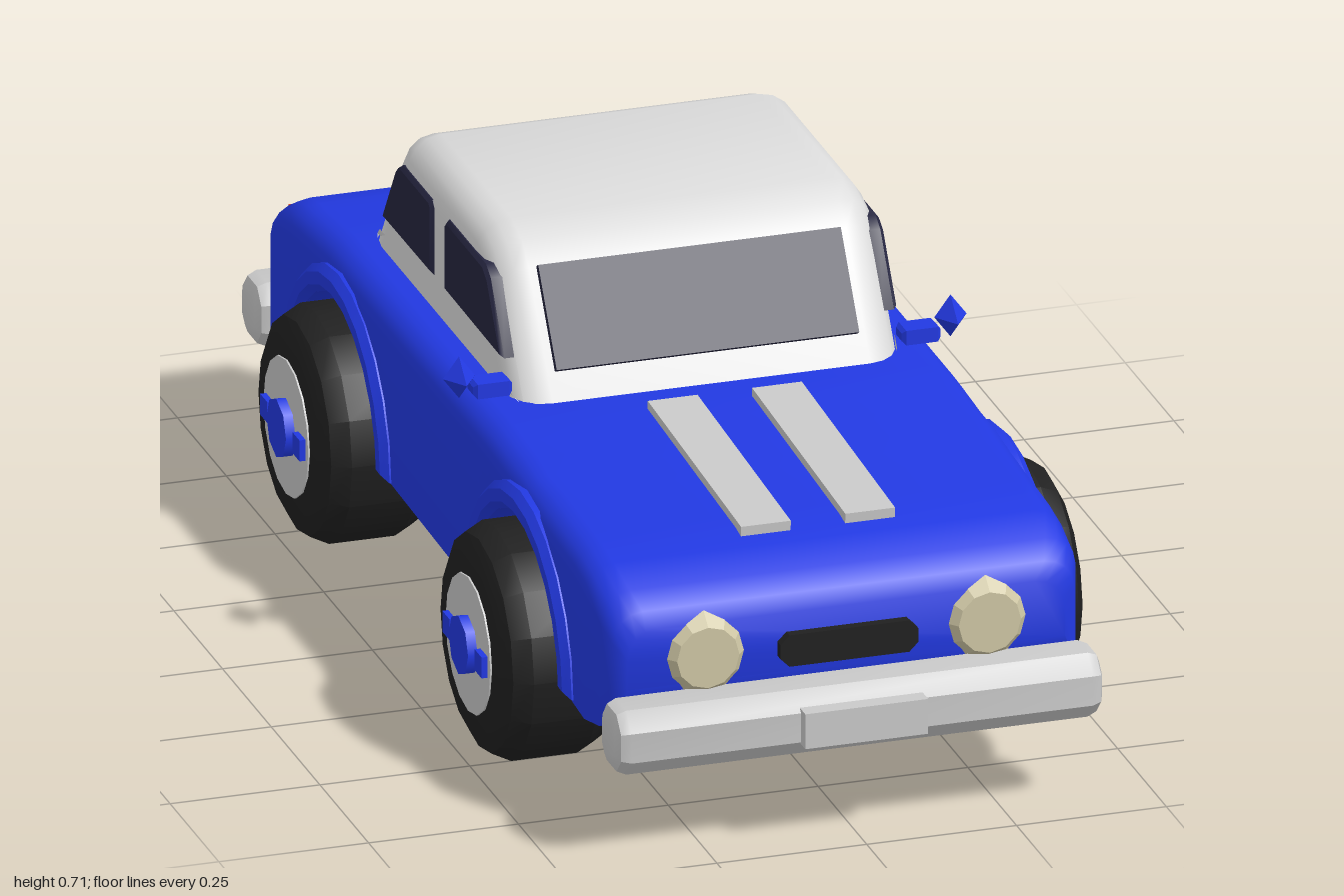
import * as THREE from 'three';
import { toCreasedNormals } from 'three/addons/utils/BufferGeometryUtils.js';

const material = (name, color) => {
  const m = new THREE.MeshStandardMaterial({ color });
  m.name = name;
  return m;
};

// Closed prism across the car from a side outline of [z, y] points
function extrudeX(points, x0, x1, bevel = 0, segments = 1) {
  const shape = new THREE.Shape(points.map(([z, y]) => new THREE.Vector2(-z, y)));
  const geo = new THREE.ExtrudeGeometry(shape, {
    depth: x1 - x0 - 2 * bevel, bevelEnabled: bevel > 0, bevelSize: bevel,
    bevelThickness: bevel, bevelOffset: -bevel, bevelSegments: segments,
  });
  geo.rotateY(Math.PI / 2).translate(x0 + bevel, 0, 0);
  return toCreasedNormals(geo, 0.6);
}

// Body lofted from rounded cross-sections, with the wheel arches cut through
const WHEELS_Z = [0.46, -0.475];
const TOP = [[0.895, 0.37], [0.875, 0.405], [0.84, 0.43], [0.74, 0.45], [0.27, 0.475],
  [-0.55, 0.475], [-0.76, 0.455], [-0.83, 0.43], [-0.86, 0.39], [-0.88, 0.35]];

function topAt(z) {
  for (let i = 0; i < TOP.length - 1; i++) {
    const [z0, y0] = TOP[i], [z1, y1] = TOP[i + 1];
    if (z <= z0 && z >= z1) return y0 + (y1 - y0) * (z0 - z) / (z0 - z1);
  }
  return TOP[0][1];
}

function bodyGeometry() {
  const arch = (c) => Array.from({ length: 11 }, (_, k) => {
    const a = Math.PI * k / 10;
    return [c + 0.22 * Math.cos(a), 0.2 + 0.2 * Math.sin(a), 0.4];
  });
  // Stations: z, underside height, half width
  const stations = [
    [0.895, 0.27, 0.365], [0.88, 0.225, 0.385], [0.85, 0.195, 0.397], [0.78, 0.18, 0.4],
    [0.72, 0.185, 0.4], ...arch(WHEELS_Z[0]), [0.22, 0.177, 0.4], [-0.22, 0.188, 0.4],
    ...arch(WHEELS_Z[1]), [-0.73, 0.18, 0.4], [-0.78, 0.168, 0.4], [-0.84, 0.18, 0.397],
    [-0.865, 0.215, 0.385], [-0.88, 0.26, 0.365],
  ];
  const pos = [], index = [];
  let n = 0;
  for (const [z, b, w] of stations) {
    const t = topAt(z), r = Math.min(0.05, (t - b) * 0.7);
    const half = [[w, b]];
    for (let k = 0; k <= 4; k++) {
      const a = Math.PI * k / 8;
      half.push([w - r + r * Math.cos(a), t - r + r * Math.sin(a)]);
    }
    const ring = [...half, ...half.map(([x, y]) => [-x, y]).reverse()];
    n = ring.length;
    ring.forEach(([x, y]) => pos.push(x, y, z));
  }
  const last = (stations.length - 1) * n;
  for (let i = 0; i < stations.length - 1; i++) {
    for (let j = 0; j < n; j++) {
      const a = i * n + j, b = i * n + (j + 1) % n;
      index.push(a, a + n, b, b, a + n, b + n);
    }
  }
  for (let j = 1; j < n - 1; j++) {
    index.push(0, j, j + 1, last, last + j + 1, last + j);
  }
  const geo = new THREE.BufferGeometry();
  geo.setAttribute('position', new THREE.Float32BufferAttribute(pos, 3));
  geo.setIndex(index);
  return toCreasedNormals(geo, 0.7);
}

export function createModel() {
  const blue = material('blue paint', 0x2239e2);
  const white = material('white roof paint', 0xdcdcdc);
  const silver = material('silver trim', 0xc9c9c9);
  const glass = material('dark glass', 0x25253f);
  const rubber = material('black rubber', 0x202020);
  const cream = material('cream lamp', 0xcfc7a5);
  const red = material('red lamp', 0xd53b22);

  const car = new THREE.Group();
  car.name = 'car';
  const add = (name, geo, mat, x = 0, y = 0, z = 0, parent = car) => {
    const mesh = new THREE.Mesh(geo, mat);
    mesh.name = name;
    mesh.position.set(x, y, z);
    parent.add(mesh);
    return mesh;
  };
  const box = (x, y, z) => new THREE.BoxGeometry(x, y, z);

  add('body', bodyGeometry(), blue);

  // Cabin
  add('cabin', extrudeX([[0.215, 0.455], [0.2, 0.48], [0.08, 0.66], [0.045, 0.693], [-0.01, 0.71],
    [-0.37, 0.71], [-0.41, 0.695], [-0.44, 0.66], [-0.56, 0.48], [-0.57, 0.455]],
  -0.325, 0.325, 0.06, 4), white);
  const tilt = Math.atan2(0.12, 0.18);
  add('windshield', box(0.505, 0.172, 0.018), glass, 0, 0.59, 0.13).rotation.x = -tilt;
  add('rearWindow', box(0.505, 0.172, 0.018), glass, 0, 0.593, -0.49).rotation.x = tilt;

  const frontPane = [[0.14, 0.535], [0.07, 0.645], [0.045, 0.66], [-0.145, 0.66], [-0.155, 0.65], [-0.155, 0.535]];
  const rearPane = [[-0.22, 0.535], [-0.22, 0.65], [-0.23, 0.66], [-0.38, 0.66], [-0.405, 0.645], [-0.475, 0.535]];

  // Wheel parts, made once and facing +x
  const tyreGeo = toCreasedNormals(new THREE.LatheGeometry([
    [0, -0.1], [0.15, -0.1], [0.178, -0.085], [0.193, -0.055],
    [0.193, 0.055], [0.178, 0.085], [0.15, 0.1], [0, 0.1],
  ].map(([r, h]) => new THREE.Vector2(r, h)), 16).rotateZ(-Math.PI / 2), 0.5);
  const disc = (r, depth, sides) => new THREE.CylinderGeometry(r, r, depth, sides).rotateZ(-Math.PI / 2);

  // Arch flare outline
  const flare = (c) => {
    const arc = (rz, ry) => Array.from({ length: 13 }, (_, k) => {
      const a = Math.PI * k / 12;
      return [c + rz * Math.cos(a), 0.19 + ry * Math.sin(a)];
    });
    return [...arc(0.265, 0.255), ...arc(0.22, 0.21).reverse()];
  };

  for (const s of [1, -1]) {
    const side = s > 0 ? 'left' : 'right';
    const span = (a, b) => (s > 0 ? [a, b] : [-b, -a]);
    add(side + 'FrontWindow', extrudeX(frontPane, ...span(0.3, 0.331), 0.006), glass);
    add(side + 'RearWindow', extrudeX(rearPane, ...span(0.3, 0.331), 0.006), glass);

    WHEELS_Z.forEach((z, i) => {
      const name = side + (i ? 'Rear' : 'Front');
      add(name + 'ArchFlare', extrudeX(flare(z), ...span(0.35, 0.415), 0.012), blue);
      const wheel = new THREE.Group();
      wheel.name = name + 'Wheel';
      wheel.position.set(s * 0.387, 0.193, z);
      if (s < 0) wheel.rotation.y = Math.PI;
      add('tyre', tyreGeo, rubber, 0, 0, 0, wheel);
      add('rim', disc(0.115, 0.02, 16), silver, 0.093, 0, 0, wheel);
      add('hub', disc(0.05, 0.03, 8), blue, 0.104, 0, 0, wheel);
      for (const d of [1, -1]) add('hubLug', box(0.02, 0.036, 0.036), blue, 0.103, 0, d * 0.083, wheel);
      car.add(wheel);
    });

    // Hood and trunk stripes
    add(side + 'HoodStripe', box(0.083, 0.022, 0.48), silver, s * 0.087, 0.465, 0.51).rotation.x = 0.053;
    add(side + 'TrunkStripe', box(0.083, 0.022, 0.175), silver, s * 0.087, 0.46, -0.695).rotation.x = -0.095;

    // Lamps
    const lamp = new THREE.CylinderGeometry(0.052, 0.073, 0.025, 12).rotateX(Math.PI / 2);
    add(side + 'Headlight', toCreasedNormals(lamp, 0.3), cream, s * 0.235, 0.315, 0.897);
    add(side + 'TailLight', box(0.17, 0.055, 0.045), red, s * 0.26, 0.357, -0.885);

    // Door mirrors
    add(side + 'MirrorArm', extrudeX([[0.185, 0.49], [0.185, 0.515], [0.145, 0.515], [0.145, 0.49]],
      ...span(0.325, 0.39), 0.006), blue);
    const head = add(side + 'Mirror', new THREE.OctahedronGeometry(0.036), blue, s * 0.41, 0.525, 0.168);
    head.scale.set(0.75, 1, 1.1);
  }

  // Bumpers and blank plates
  for (const [name, s] of [['front', 1], ['rear', -1]]) {
    const section = [[0.87, 0.18], [0.895, 0.15], [0.95, 0.15], [0.978, 0.18],
      [0.978, 0.23], [0.95, 0.26], [0.895, 0.26], [0.87, 0.23]];
    add(name + 'Bumper', extrudeX(section.map(([z, y]) => [z * s, y]), -0.407, 0.407, 0.022, 2), silver);
    add(name + 'Plate', box(0.205, 0.06, 0.04), silver, 0, 0.207, s * 0.98);
  }

  // Grille slot
  const grille = [[-0.115, -0.012], [-0.1, -0.027], [0.1, -0.027], [0.115, -0.012],
    [0.115, 0.012], [0.1, 0.027], [-0.1, 0.027], [-0.115, 0.012]];
  add('grille', new THREE.ExtrudeGeometry(new THREE.Shape(grille.map(([x, y]) => new THREE.Vector2(x, y))),
    { depth: 0.03, bevelEnabled: false }), rubber, 0, 0.31, 0.881);

  return car;
}
